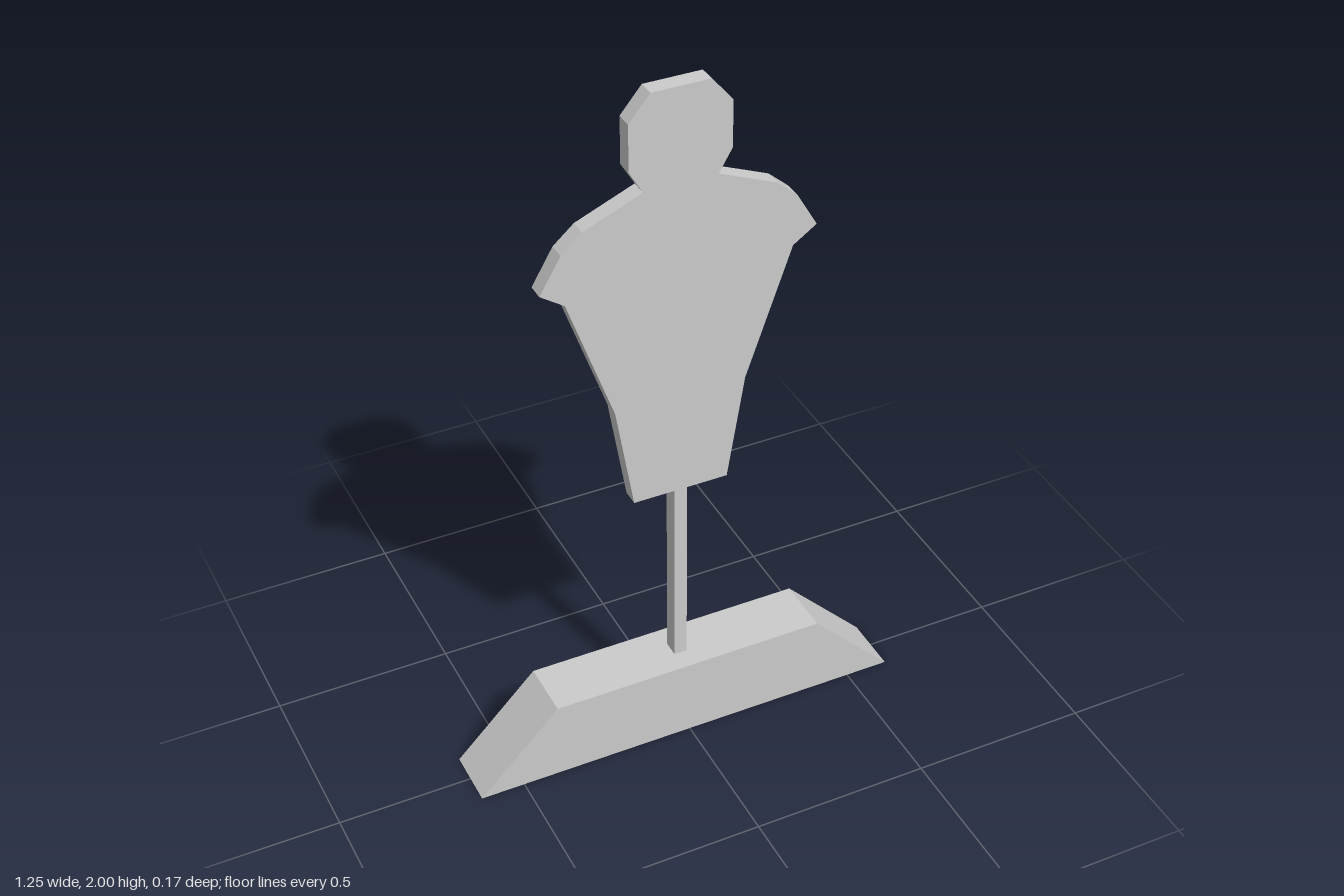
import * as THREE from 'three';

const material = new THREE.MeshStandardMaterial({ color: 0xcccccc, flatShading: true });

// Mirrors a right-hand outline (bottom to top) across x = 0 and extrudes it, centred on z = 0.
function symmetricSlab(name, half, depth) {
  const mirrored = half.map(([x, y]) => [-x, y]).reverse();
  const shape = new THREE.Shape([...half, ...mirrored].map(([x, y]) => new THREE.Vector2(x, y)));
  const geometry = new THREE.ExtrudeGeometry(shape, { depth, bevelEnabled: false });
  geometry.translate(0, 0, -depth / 2);
  const mesh = new THREE.Mesh(geometry, material);
  mesh.name = name;
  return mesh;
}

export function createModel() {
  const group = new THREE.Group();
  group.name = 'silhouetteTarget';

  // Trapezoid foot
  group.add(symmetricSlab('base', [[0.624, 0], [0.394, 0.236]], 0.166));

  // Flat torso and head cut-out
  group.add(symmetricSlab('silhouetteBoard', [
    [0.134, 0.808], [0.183, 1.11], [0.31, 1.475], [0.375, 1.52], [0.317, 1.62],
    [0.26, 1.67], [0.1, 1.737], [0.137, 1.8], [0.137, 1.93], [0.079, 2],
  ], 0.047));

  // Post joining base and board
  const post = new THREE.Mesh(new THREE.BoxGeometry(0.037, 0.572, 0.047), material);
  post.position.y = 0.522;
  post.name = 'post';
  group.add(post);

  return group;
}
